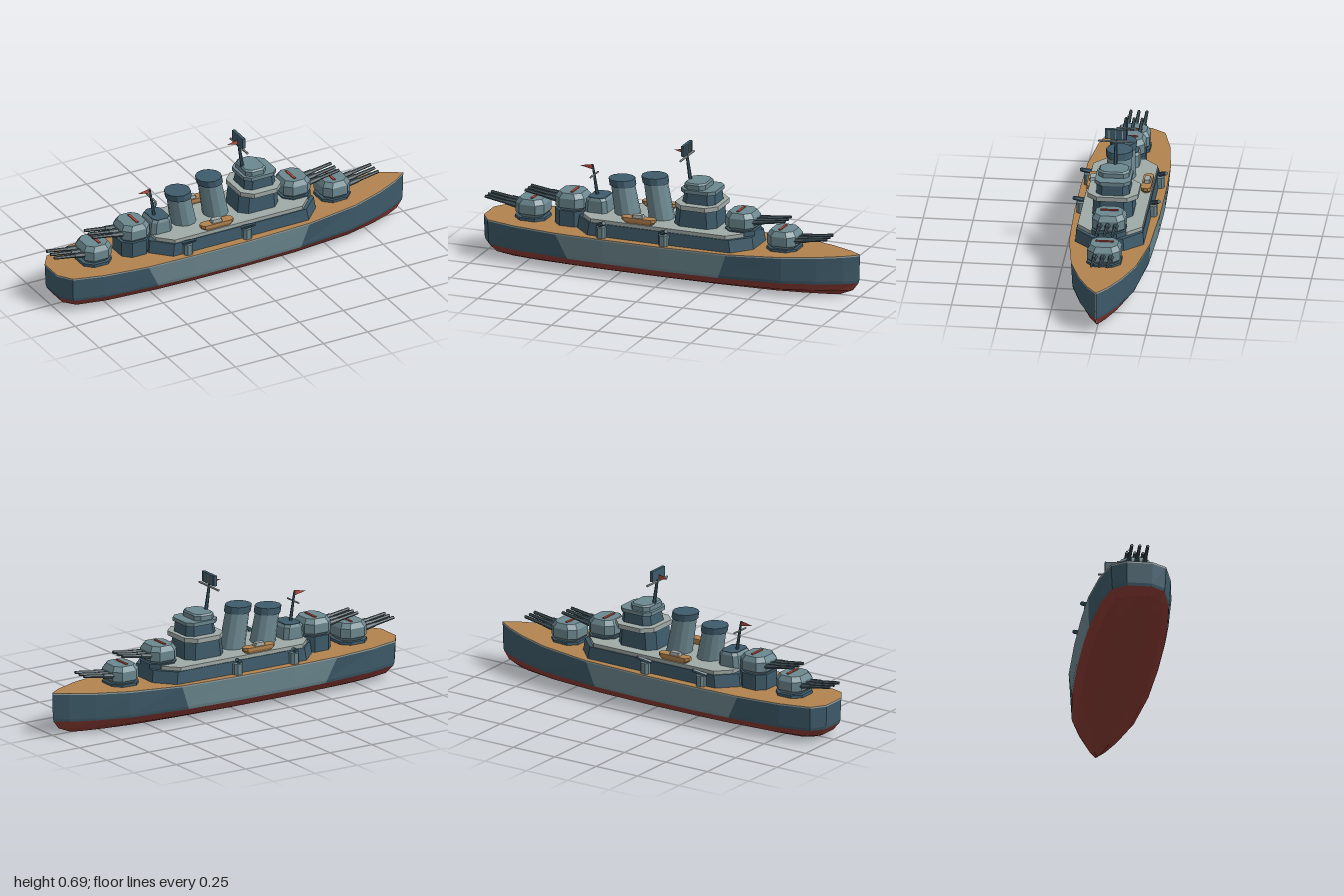
import * as THREE from 'three';

const mat = (name, color, side = THREE.FrontSide) => {
  const m = new THREE.MeshStandardMaterial({ color, side });
  m.name = name;
  return m;
};
const navy = mat('navy blue', 0x3e5b6a);
const steel = mat('blue grey', 0x6c8890);
const pale = mat('pale grey', 0xa0aaa6);
const wood = mat('deck wood', 0xb3834f);
const keelRed = mat('keel red', 0x8f3d35);
const gunmetal = mat('gunmetal', 0x42545b);
const signalRed = mat('signal red', 0xb84a3c, THREE.DoubleSide);

// Faceted geometry from quads and triangles of Vector3 corners
function facets(faces) {
  const pos = [];
  for (const f of faces)
    for (let i = 1; i < f.length - 1; i++)
      for (const p of [f[0], f[i], f[i + 1]]) pos.push(p.x, p.y, p.z);
  const g = new THREE.BufferGeometry();
  g.setAttribute('position', new THREE.Float32BufferAttribute(pos, 3));
  g.computeVertexNormals();
  return g;
}

function add(parent, name, geometry, material, x = 0, y = 0, z = 0) {
  const m = new THREE.Mesh(geometry, material);
  m.name = name;
  m.position.set(x, y, z);
  parent.add(m);
  return m;
}

// Stack of chamfered rectangles, each ring = [y, x0, x1, halfZ, chamfer]
function block(rings) {
  const loops = rings.map(([y, x0, x1, h, c]) => [
    [x1, h - c], [x1, c - h], [x1 - c, -h], [x0 + c, -h],
    [x0, c - h], [x0, h - c], [x0 + c, h], [x1 - c, h],
  ].map(([x, z]) => new THREE.Vector3(x, y, z)));
  const faces = [loops[loops.length - 1], [...loops[0]].reverse()];
  for (let k = 0; k < loops.length - 1; k++)
    for (let i = 0; i < 8; i++) {
      const j = (i + 1) % 8;
      faces.push([loops[k][i], loops[k][j], loops[k + 1][j], loops[k + 1][i]]);
    }
  return facets(faces);
}
const slab = (y0, y1, x0, x1, h, c) => block([[y0, x0, x1, h, c], [y1, x0, x1, h, c]]);

// Tapered rod between two points
function rod(parent, name, from, to, r0, r1, material, sides = 6) {
  const a = new THREE.Vector3(...from), d = new THREE.Vector3(...to).sub(a);
  const g = new THREE.CylinderGeometry(r1, r0, d.length(), sides).toNonIndexed();
  g.computeVertexNormals();
  const m = add(parent, name, g, material);
  m.position.copy(a).addScaledVector(d, 0.5);
  m.quaternion.setFromUnitVectors(new THREE.Vector3(0, 1, 0), d.normalize());
  return m;
}

function buildHull(root) {
  // Stations from stern to bow: x, half width, slant of the paint edge
  const stations = [
    [-1, 0.065, 0], [-0.95, 0.138, 0], [-0.79, 0.18, 0], [-0.56, 0.208, -0.06],
    [-0.3, 0.215, 0], [0, 0.215, 0], [0.36, 0.203, 0.045], [0.64, 0.163, 0],
    [0.81, 0.107, 0], [0.93, 0.05, 0], [1, 0.001, 0],
  ];
  // Levels from keel to deck edge: y, length scale, width scale, slant share
  const levels = [
    [0, 0.89, 0.4, 1], [0.03, 0.962, 0.77, 1], [0.07, 0.992, 0.94, 1],
    [0.085, 0.996, 0.96, 0.9], [0.192, 1, 0.996, 0.05], [0.2, 1, 1, 0],
  ];
  const point = (l, i, s) => {
    const [x, w, slant] = stations[i], [y, kx, kw, share] = levels[l];
    const sheer = l > 3 ? 0.02 * Math.max(0, (x - 0.3) / 0.7) : 0;
    return new THREE.Vector3((x - slant * share) * kx, y + sheer, s * w * kw);
  };
  const skin = { bottom: [], ends: [], midships: [], rim: [], deck: [] };
  const last = stations.length - 1, top = levels.length - 1;
  for (let l = 0; l < top; l++) {
    const zone = (i) => l < 2 ? 'bottom' : l === 4 ? 'rim' : i >= 3 && i < 6 ? 'midships' : 'ends';
    for (let i = 0; i < last; i++)
      for (const s of [1, -1]) {
        const q = [point(l, i, s), point(l, i + 1, s), point(l + 1, i + 1, s), point(l + 1, i, s)];
        skin[zone(i)].push(s > 0 ? q : q.reverse());
      }
    skin[zone(0)].push([point(l, 0, -1), point(l, 0, 1), point(l + 1, 0, 1), point(l + 1, 0, -1)]);
  }
  for (let i = 0; i < last; i++) {
    const cap = (l) => [point(l, i, 1), point(l, i + 1, 1), point(l, i + 1, -1), point(l, i, -1)];
    skin.deck.push(cap(top));
    skin.bottom.push(cap(0).reverse());
  }
  add(root, 'hullBottom', facets(skin.bottom), keelRed);
  add(root, 'hullEnds', facets(skin.ends), navy);
  add(root, 'hullMidshipsPaint', facets(skin.midships), steel);
  add(root, 'deckRim', facets(skin.rim), pale);
  add(root, 'mainDeck', facets(skin.deck), wood);
}

// Triple gun turret facing +x, turned round for the aft ones
function buildTurret(root, name, x, y, aft) {
  const t = new THREE.Group();
  t.name = name;
  t.position.set(x, y, 0);
  if (aft) t.rotation.y = Math.PI;
  add(t, 'turretHouse', block([
    [0, -0.06, 0.06, 0.066, 0.03], [0.02, -0.077, 0.077, 0.083, 0.035],
    [0.068, -0.077, 0.077, 0.083, 0.035], [0.093, -0.06, 0.06, 0.068, 0.03],
  ]), steel);
  add(t, 'roofStripe', new THREE.BoxGeometry(0.012, 0.006, 0.09), signalRed, -0.01, 0.095);
  for (const z of [-0.04, 0, 0.04]) {
    rod(t, 'barrelSleeve', [0.06, 0.045, z], [0.13, 0.056, z], 0.015, 0.012, gunmetal);
    rod(t, 'barrel', [0.1, 0.051, z], [0.243, 0.073, z], 0.01, 0.008, gunmetal);
  }
  root.add(t);
}

// Raked funnel with a dark cap
function buildFunnel(root, x, y1) {
  const f = new THREE.Group();
  f.name = 'funnel';
  const piece = (name, r0, r1, a, b, m) => {
    const g = new THREE.CylinderGeometry(r1, r0, b - a, 12).toNonIndexed();
    g.translate(0, (a + b) / 2, 0);
    const p = g.attributes.position;
    for (let i = 0; i < p.count; i++) p.setX(i, p.getX(i) - 0.18 * (p.getY(i) - 0.28));
    g.computeVertexNormals();
    add(f, name, g, m, x);
  };
  piece('funnelBody', 0.066, 0.06, 0.28, y1 - 0.03, steel);
  piece('funnelCap', 0.067, 0.067, y1 - 0.035, y1, navy);
  root.add(f);
}

function buildPennant(root, x, y, length) {
  const s = new THREE.Shape([[0, 0.014], [-length, 0], [0, -0.014]].map((p) => new THREE.Vector2(...p)));
  add(root, 'pennant', new THREE.ShapeGeometry(s), signalRed, x, y, 0);
}

export function createModel() {
  const root = new THREE.Group();
  root.name = 'battleship';
  buildHull(root);

  // Central deckhouse
  add(root, 'deckhouse', block([[0.198, -0.49, 0.46, 0.172, 0.09], [0.265, -0.48, 0.45, 0.167, 0.09]]), navy);
  add(root, 'upperDeck', slab(0.265, 0.284, -0.455, 0.41, 0.162, 0.07), pale);

  // Main guns and the raised mounts under them
  for (const [x, y0, y1] of [[0.595, 0.2, 0.222], [0.37, 0.2, 0.29], [-0.545, 0.2, 0.28], [-0.76, 0.198, 0.215]])
    add(root, 'barbette', slab(y0, y1, x - 0.08, x + 0.08, 0.085, 0.04), navy);
  buildTurret(root, 'forwardTurret', 0.595, 0.217, false);
  buildTurret(root, 'forwardUpperTurret', 0.37, 0.284, false);
  buildTurret(root, 'aftUpperTurret', -0.545, 0.274, true);
  buildTurret(root, 'aftTurret', -0.76, 0.214, true);

  // Bridge tower
  add(root, 'bridgeBase', block([[0.28, 0.025, 0.255, 0.102, 0.04], [0.38, 0.035, 0.25, 0.098, 0.04]]), navy);
  add(root, 'bridgePlatform', slab(0.378, 0.402, 0.035, 0.265, 0.127, 0.05), pale);
  add(root, 'bridgeUpper', block([[0.4, 0.065, 0.242, 0.084, 0.03], [0.456, 0.075, 0.238, 0.08, 0.03]]), navy);
  add(root, 'bridgeRoof', slab(0.455, 0.474, 0.06, 0.245, 0.09, 0.03), steel);
  add(root, 'bridgeTop', block([[0.474, 0.075, 0.19, 0.077, 0.025], [0.497, 0.075, 0.19, 0.077, 0.025],
    [0.505, 0.082, 0.183, 0.07, 0.025]]), steel);

  // Foremast with yard, aerial screen and pennant
  rod(root, 'foremast', [0.086, 0.5, 0], [0.062, 0.66, 0], 0.01, 0.006, navy);
  rod(root, 'foremastYard', [0.068, 0.62, -0.088], [0.068, 0.62, 0.088], 0.006, 0.006, pale);
  add(root, 'aerialScreen', new THREE.BoxGeometry(0.016, 0.054, 0.11), navy, 0.066, 0.66, 0);
  for (const z of [-0.034, 0, 0.034])
    add(root, 'aerialBar', new THREE.BoxGeometry(0.006, 0.048, 0.004), pale, 0.075, 0.66, z);
  buildPennant(root, 0.06, 0.645, 0.06);

  buildFunnel(root, -0.25, 0.463);
  buildFunnel(root, -0.067, 0.498);

  // Aft control house and mast
  add(root, 'aftHouse', block([[0.28, -0.462, -0.34, 0.07, 0.02], [0.345, -0.455, -0.345, 0.07, 0.02],
    [0.358, -0.445, -0.355, 0.065, 0.02]]), steel);
  add(root, 'aftHouseRoof', slab(0.356, 0.361, -0.445, -0.355, 0.065, 0.02), navy);
  rod(root, 'aftMast', [-0.415, 0.355, 0], [-0.44, 0.51, 0], 0.009, 0.005, navy);
  rod(root, 'aftMastYard', [-0.432, 0.46, -0.05], [-0.432, 0.46, 0.05], 0.005, 0.005, pale);
  buildPennant(root, -0.438, 0.5, 0.07);

  // Boats and side guns on both sides
  for (const s of [1, -1]) {
    add(root, 'boat', block([[0.284, -0.205, -0.06, 0.019, 0.012], [0.298, -0.225, -0.045, 0.025, 0.014],
      [0.314, -0.225, -0.045, 0.025, 0.014]]), wood, 0, 0, s * 0.136);
    add(root, 'boatCabin', block([[0.314, -0.168, -0.108, 0.017, 0.004], [0.33, -0.164, -0.112, 0.014, 0.004]]),
      pale, 0, 0, s * 0.136);
    for (const x of [-0.32, 0.015]) {
      add(root, 'sideGunMount', slab(0.198, 0.256, x - 0.024, x + 0.024, 0.026, 0.012), steel, 0, 0, s * 0.175);
      rod(root, 'sideGun', [x - 0.02, 0.255, s * 0.165], [x + 0.027, 0.287, s * 0.213], 0.013, 0.01, navy);
    }
  }
  return root;
}
